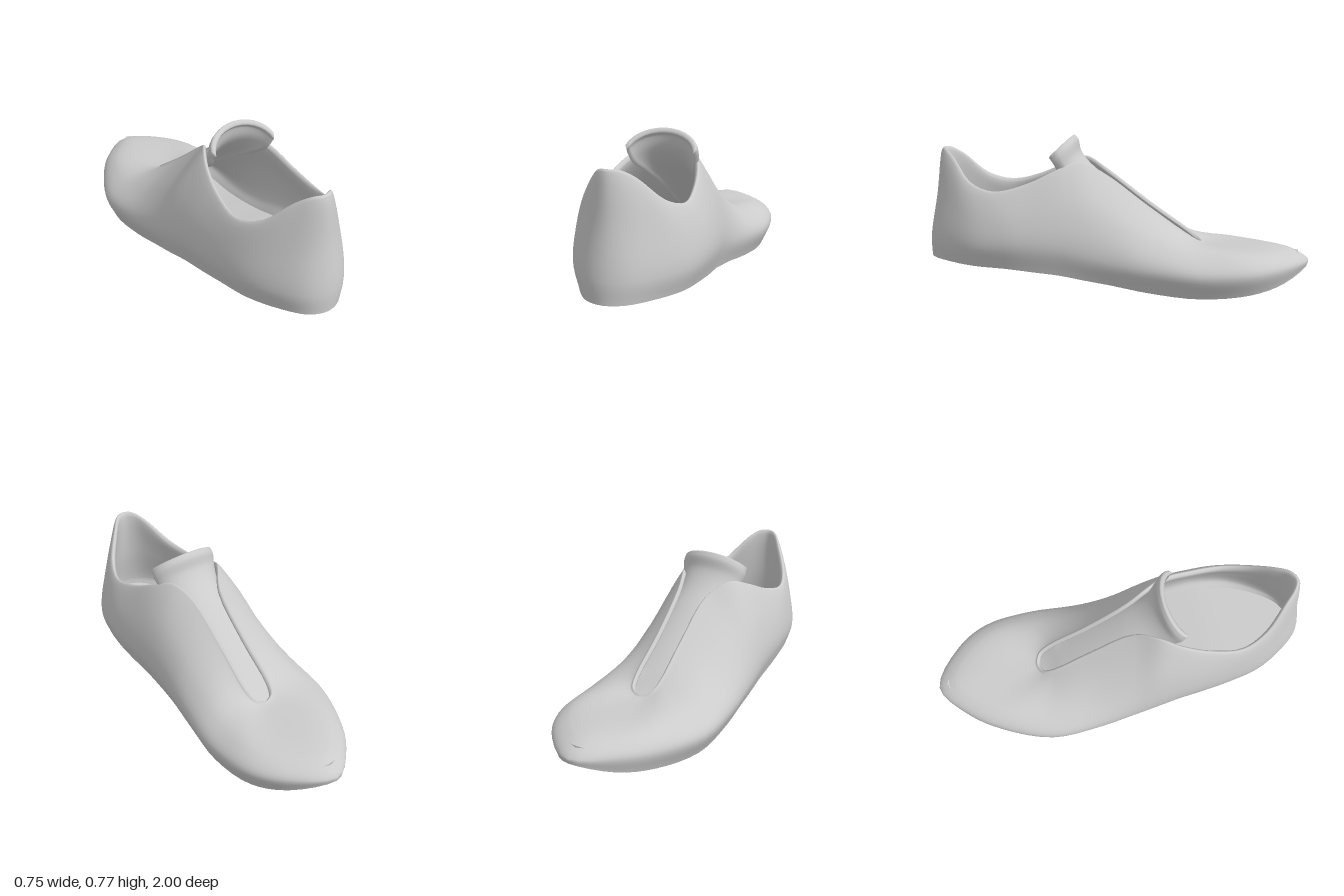
import * as THREE from 'three';

const V = (x, y, z) => new THREE.Vector3(x, y, z);
const material = new THREE.MeshStandardMaterial({ color: 0xcccccc, side: THREE.DoubleSide });
const COLS = 104; // samples around the shoe

// Stations from heel to toe. side: +x and -x half widths at the widest level, z, sole y, widest y
// rim: x, y, z of the opening edge.  mid: blend from widest level to rim (sideways, upwards)
const stations = [
  { side: [0, 0, 1.0, 0.125, 0.23], rim: [0, 0.695, 0.93], mid: [0.55, 0.5] },
  { side: [0.1, -0.1, 0.97, 0.125, 0.23], rim: [0.05, 0.69, 0.91], mid: [0.52, 0.5] },
  { side: [0.2, -0.19, 0.87, 0.125, 0.23], rim: [0.105, 0.65, 0.855], mid: [0.42, 0.5] },
  { side: [0.295, -0.275, 0.71, 0.122, 0.23], rim: [0.2, 0.535, 0.74], mid: [0.3, 0.5] },
  { side: [0.33, -0.315, 0.53, 0.118, 0.24], rim: [0.25, 0.495, 0.6], mid: [0.25, 0.5] },
  { side: [0.33, -0.33, 0.4, 0.105, 0.24], rim: [0.24, 0.535, 0.43], mid: [0.27, 0.5] },
  { side: [0.32, -0.34, 0.25, 0.087, 0.23], rim: [0.205, 0.605, 0.28], mid: [0.3, 0.5] },
  { side: [0.315, -0.35, 0.13, 0.065, 0.2], rim: [0.155, 0.64, 0.18], mid: [0.3, 0.5] },
  { side: [0.318, -0.36, 0, 0.045, 0.17], rim: [0.1, 0.585, 0.06], mid: [0.32, 0.5] },
  { side: [0.34, -0.375, -0.2, 0.015, 0.14], rim: [0.085, 0.415, -0.17], mid: [0.35, 0.5] },
  { side: [0.37, -0.37, -0.45, 0, 0.12], rim: [0.085, 0.275, -0.37], mid: [0.35, 0.6] },
  { side: [0.34, -0.27, -0.7, 0.02, 0.13], rim: [0.065, 0.235, -0.435], mid: [0.28, 0.75] },
  { side: [0.23, -0.15, -0.87, 0.06, 0.145], rim: [0.03, 0.222, -0.458], mid: [0.23, 0.8] },
  { side: [0.03, 0.03, -1, 0.125, 0.15], rim: [0, 0.22, -0.465], mid: [0.2, 0.84] },
];

// Points of one station from sole edge, over the rim, down the lining to the insole
function stationLevels({ side, rim, mid }, mirrored, index) {
  const [xp, xn, z, ySole, yWide] = side;
  const x = mirrored ? xn : xp;
  const shift = index >= 8 ? 0.015 : 0;
  const wide = V(x, yWide, z);
  const sole = V(x * 0.89, ySole, z);
  const edge = V((mirrored ? -rim[0] : rim[0]) + shift, rim[1], rim[2]);
  const middle = V(
    THREE.MathUtils.lerp(x, edge.x, mid[0]),
    THREE.MathUtils.lerp(yWide, edge.y, mid[1]),
    THREE.MathUtils.lerp(z, edge.z, mid[0]));
  const inward = V(shift, edge.y, THREE.MathUtils.clamp(edge.z, -0.4, 0.6)).sub(edge).normalize();
  const inside = (p, drop) => V(p.x * 0.9, p.y - drop, p.z * 0.95);
  return [
    sole, wide, middle, edge,
    edge.clone().addScaledVector(inward, 0.013).add(V(0, 0.01, 0)),
    edge.clone().addScaledVector(inward, 0.026).add(V(0, -0.012, 0)),
    inside(middle, 0.02), inside(wide, 0), inside(sole, -0.07),
  ];
}

// Surface through rows of points; every row has the same count
function gridGeometry(rows, closed) {
  const n = rows[0].length, index = [];
  for (let j = 0; j < rows.length - 1; j++) {
    for (let i = 0; i < (closed ? n : n - 1); i++) {
      const k = (i + 1) % n, a = j * n + i, b = j * n + k;
      index.push(a, b, b + n, a, b + n, a + n);
    }
  }
  const geometry = new THREE.BufferGeometry().setFromPoints(rows.flat());
  geometry.setIndex(index);
  geometry.computeVertexNormals();
  return geometry;
}

// Flat-ish fill of a left/right loop that starts at the heel
function fillLoop(loop, faceDown) {
  const n = loop.length, rows = [];
  for (let i = 0; i <= n / 2; i++) {
    const right = loop[i], left = loop[(n - i) % n];
    const row = [];
    for (let s = 0; s <= 6; s++) row.push(left.clone().lerp(right, s / 6));
    rows.push(faceDown ? row.reverse() : row);
  }
  return gridGeometry(rows, false);
}

function addMesh(group, name, geometry) {
  const mesh = new THREE.Mesh(geometry, material);
  mesh.name = name;
  group.add(mesh);
}

// Padded tongue: curved strip with thickness, flaring at the top
function tongueGeometry() {
  // centre y, centre z, half width, side droop, side sweep towards the heel
  const path = [
    [0.17, -0.53, 0.09, 0.02, 0], [0.215, -0.42, 0.11, 0.02, 0], [0.3, -0.3, 0.11, 0.02, 0],
    [0.52, 0, 0.125, 0.05, 0.01], [0.62, 0.13, 0.145, 0.07, 0.04],
    [0.69, 0.185, 0.18, 0.09, 0.08], [0.75, 0.2, 0.192, 0.1, 0.1], [0.772, 0.215, 0.19, 0.1, 0.1],
  ];
  const curve = new THREE.CatmullRomCurve3(path.map(([y, z]) => V(0, y, z)));
  const sizes = new THREE.CatmullRomCurve3(path.map(([, , w, d, e]) => V(w, d, e)));
  const rows = [], steps = 42, arc = 14;
  for (let j = 0; j <= steps; j++) {
    const c = curve.getPoint(j / steps), t = curve.getTangent(j / steps), f = sizes.getPoint(j / steps);
    const under = V(0, -t.z, t.y).multiplyScalar(0.028);
    const ring = [];
    for (const layer of [0, 1]) {
      for (let i = 0; i <= arc; i++) {
        const a = (layer ? 1 - 2 * i / arc : 2 * i / arc - 1) * 1.4;
        const bend = 1 - Math.cos(a);
        const p = V(0.01 + f.x * Math.sin(a) * (1 - 0.08 * layer), c.y - f.y * bend, c.z + f.z * bend);
        ring.push(p.addScaledVector(under, layer));
      }
    }
    rows.push(ring.reverse());
  }
  // rounded closing of the top edge
  const last = rows[steps], n = last.length;
  rows.push(last.map((p, i) => p.clone().lerp(last[n - 1 - i], 0.2).add(V(0, 0.006, 0))));
  rows.push(last.map((p, i) => p.clone().lerp(last[n - 1 - i], 0.5).add(V(0, 0.008, 0))));
  return gridGeometry(rows, true);
}

export function createModel() {
  const group = new THREE.Group();
  group.name = 'shoe';

  // Loop of stations: heel, +x side, toe, -x side
  const loop = stations.map((s, i) => stationLevels(s, false, i));
  for (let i = stations.length - 2; i > 0; i--) loop.push(stationLevels(stations[i], true, i));

  // Smooth every level around the shoe, then every column from sole to insole
  const levels = loop[0].map((_, l) => {
    const curve = new THREE.CatmullRomCurve3(loop.map((p) => p[l]), true);
    return Array.from({ length: COLS }, (_, i) => curve.getPoint(i / COLS));
  });
  const STEPS = 48;
  const columns = levels[0].map((_, i) =>
    new THREE.CatmullRomCurve3(levels.map((level) => level[i])).getPoints(STEPS));
  const rows = Array.from({ length: STEPS + 1 }, (_, j) => columns.map((c) => c[j]));

  addMesh(group, 'upper', gridGeometry(rows, true));
  addMesh(group, 'sole', fillLoop(rows[0], true));
  addMesh(group, 'insole', fillLoop(rows[STEPS], false));
  addMesh(group, 'tongue', tongueGeometry());
  return group;
}
